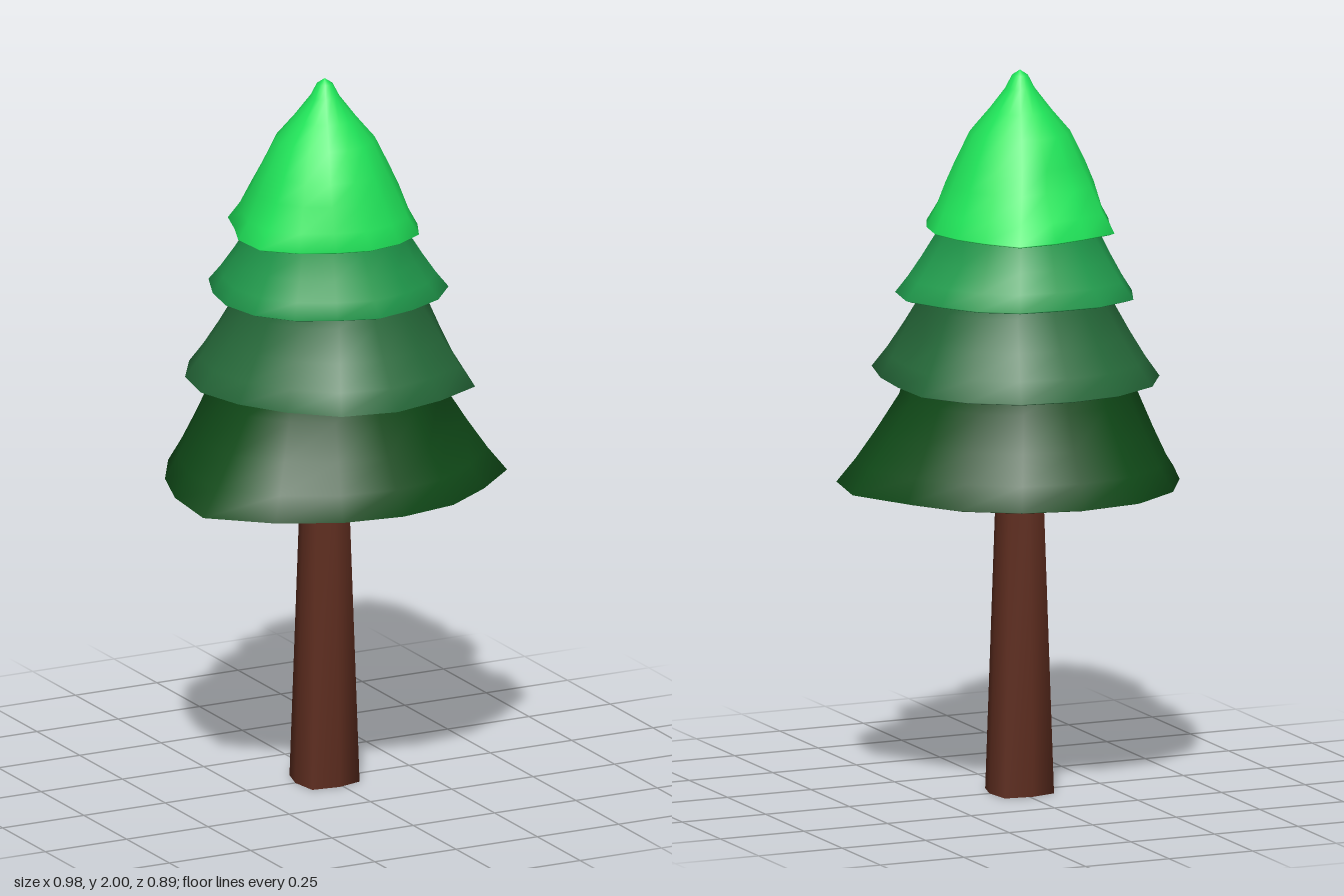
import * as THREE from 'three';
import { mergeVertices } from 'three/addons/utils/BufferGeometryUtils.js';

const SIDES = 16;

// Skin a stack of closed rings, each an array of [x, y, z]
function loft(rings) {
  const index = [];
  for (let k = 0; k < rings.length - 1; k++) {
    for (let i = 0; i < SIDES; i++) {
      const a = k * SIDES + i, b = k * SIDES + (i + 1) % SIDES;
      index.push(b, a, a + SIDES, b, a + SIDES, b + SIDES);
    }
  }
  const geometry = new THREE.BufferGeometry();
  geometry.setAttribute('position', new THREE.Float32BufferAttribute(rings.flat(2), 3));
  geometry.setIndex(index);
  geometry.computeVertexNormals();
  return geometry;
}

function addMesh(parent, name, geometry, color) {
  const mesh = new THREE.Mesh(geometry, new THREE.MeshStandardMaterial({ color }));
  mesh.name = name;
  parent.add(mesh);
}

// One foliage tier, smooth over its rim. rim: radii at even angles from +x towards the front.
// profile rows [y, t, r]: the ragged rim blends into a circle of radius r as t goes from 0 to 1.
// dent: the side on which the third ring is pressed inwards.
function addTier(parent, name, color, rim, profile, centre, dent) {
  const directions = rim.map((_, i) => {
    const angle = (i / SIDES) * Math.PI * 2;
    return [Math.cos(angle), Math.sin(angle)];
  });

  // Flat underside with a thin lip
  const base = profile[0][0];
  const underside = [[0, 0], [0.75, 0], [0.95, -0.006]].map(([scale, rise]) =>
    directions.map(([c, s], i) => [c * rim[i] * scale, base + rise, s * rim[i] * scale]));

  // Skirt from the rim up
  const skirt = profile.map(([y, t, r], k) => directions.map(([c, s], i) => {
    const radius = THREE.MathUtils.lerp(rim[i], r, t) - (k === 2 && i === dent ? 0.025 : 0);
    return [centre[0] * t + c * radius, y, centre[1] * t + s * radius];
  }));
  addMesh(parent, name, loft([...underside, ...skirt]), color);
}

// Flared profile of the tiers that run up under the next one
function flare(base, top, radius) {
  return [[0, 0], [0.2, 0.28], [0.45, 0.58], [0.75, 0.91], [1, 1]].map(([f, t]) =>
    [THREE.MathUtils.lerp(base, top, f), t, radius]);
}

// Tapered eight-sided trunk, wider across its diagonals, with a softened foot
function trunkGeometry() {
  const geometry = new THREE.CylinderGeometry(0.059, 0.09, 0.94, 8);
  geometry.translate(0, 0.47, 0);
  const position = geometry.attributes.position;
  for (let i = 0; i < position.count; i++) {
    const x = position.getX(i), z = position.getZ(i);
    const diagonal = Math.sin(2 * Math.atan2(z, x));
    const widen = 1 + 0.18 * Math.abs(diagonal) - 0.07 * diagonal;
    position.setX(i, x * widen - 0.01);
    position.setZ(i, z * widen);
  }
  geometry.deleteAttribute('normal');
  geometry.deleteAttribute('uv');
  const smooth = mergeVertices(geometry);
  smooth.computeVertexNormals();
  return smooth;
}

export function createModel() {
  const tree = new THREE.Group();
  tree.name = 'pineTree';

  addMesh(tree, 'trunk', trunkGeometry(), 0x602e20);

  // Foliage from the bottom up
  addTier(tree, 'bottomFoliage', 0x104a18,
    [0.49, 0.49, 0.445, 0.445, 0.445, 0.455, 0.48, 0.53, 0.47, 0.445, 0.455, 0.46, 0.45, 0.445, 0.445, 0.44],
    flare(0.864, 1.19, 0.31), [-0.01, 0], 2);
  addTier(tree, 'lowerFoliage', 0x266a3a,
    [0.355, 0.37, 0.42, 0.4, 0.41, 0.41, 0.385, 0.38, 0.39, 0.39, 0.395, 0.385, 0.375, 0.38, 0.38, 0.38],
    flare(1.152, 1.43, 0.255), [0, 0.015], 0);
  addTier(tree, 'upperFoliage', 0x209a4c,
    [0.33, 0.33, 0.315, 0.3, 0.305, 0.29, 0.305, 0.315, 0.315, 0.315, 0.34, 0.315, 0.29, 0.3, 0.3, 0.3],
    flare(1.39, 1.61, 0.21), [-0.01, 0.01], 15);
  addTier(tree, 'topFoliage', 0x20e65a,
    [0.245, 0.245, 0.26, 0.255, 0.255, 0.25, 0.265, 0.29, 0.275, 0.255, 0.285, 0.255, 0.26, 0.285, 0.25, 0.24],
    [[1.57, 0, 0.19], [1.62, 0.4, 0.19], [1.69, 0.8, 0.19], [1.75, 1, 0.176], [1.83, 1, 0.137],
      [1.89, 1, 0.086], [1.95, 1, 0.04], [1.985, 1, 0.022], [2, 1, 0]],
    [-0.02, 0.02], 12);
  return tree;
}
